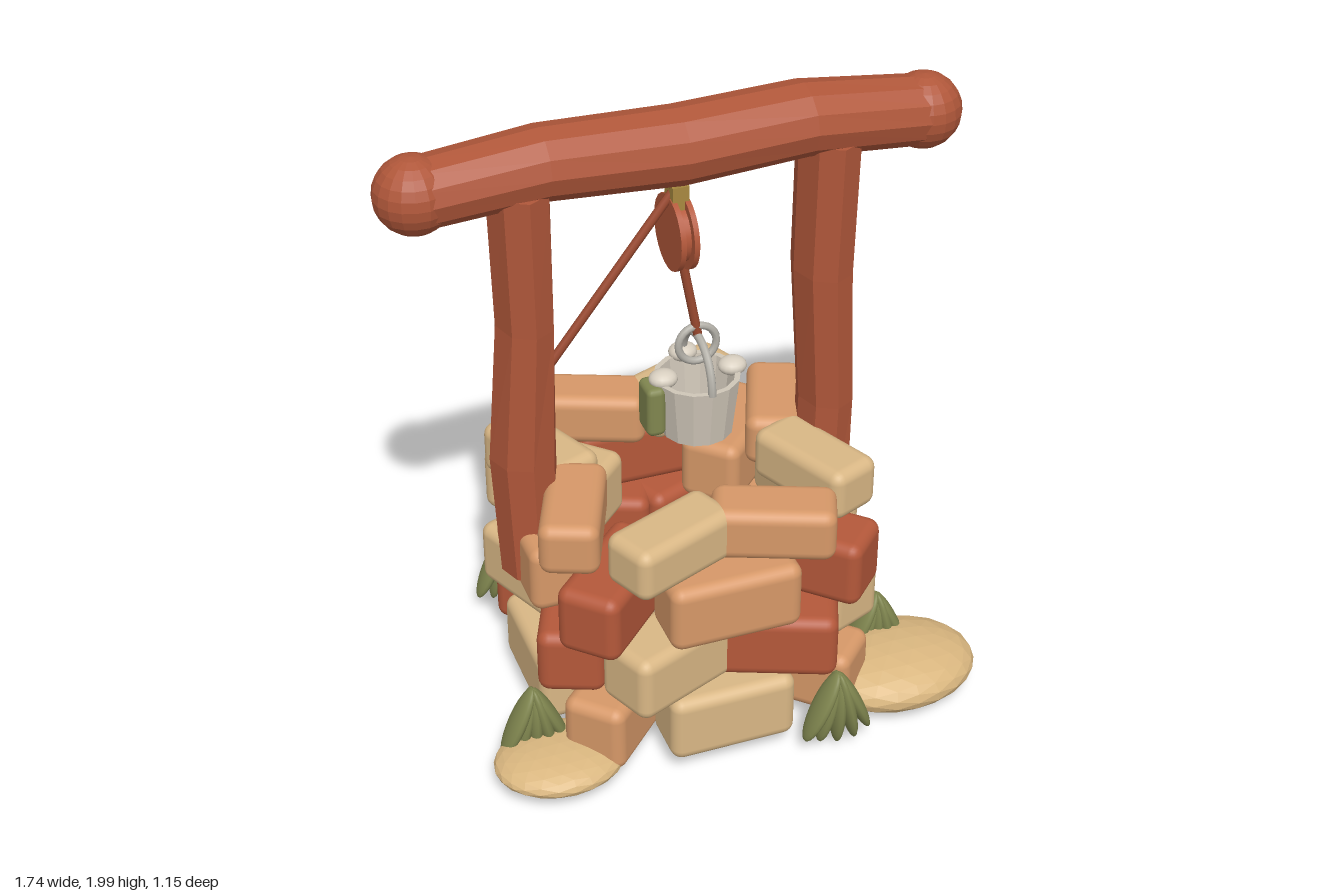
import * as THREE from 'three';
import { RoundedBoxGeometry } from 'three/addons/geometries/RoundedBoxGeometry.js';

const mat = (color, extra = {}) => {
  const m = new THREE.MeshStandardMaterial(extra);
  m.color.set(color);
  return m;
};
const cream = mat(0xd9b785), orange = mat(0xd69868), rust = mat(0xb4583a);
const wood = mat(0xb0573a, { flatShading: true }), rope = mat(0x9c4a30);
const sand = mat(0xd9b67f, { flatShading: true }), leafGreen = mat(0x80864f);
const brass = mat(0xa8893f), pale = mat(0xd8cfc0);
const pail = mat(0xcfc6b8, { flatShading: true, side: THREE.DoubleSide });
const metal = mat(0xb5b2aa);

const CZ = -0.025; // depth of the well axis

function add(parent, name, geometry, material, x = 0, y = 0, z = 0) {
  const mesh = new THREE.Mesh(geometry, material);
  mesh.name = name;
  mesh.position.set(x, y, z);
  parent.add(mesh);
  return mesh;
}

// Rough log through rings [y, centreX, halfX, halfZ], listed top to bottom
function log(rings, sides) {
  const n = rings.length - 1;
  const g = new THREE.CylinderGeometry(1, 1, 1, sides, n);
  const p = g.attributes.position;
  for (let i = 0; i < p.count; i++) {
    const [y, cx, hx, hz] = rings[Math.round((0.5 - p.getY(i)) * n)];
    p.setXYZ(i, cx + p.getX(i) * hx, y, p.getZ(i) * hz);
  }
  g.computeVertexNormals();
  return g;
}

// Thin round bar between two points
function bar(parent, name, a, b, r, material) {
  const path = new THREE.LineCurve3(new THREE.Vector3(...a), new THREE.Vector3(...b));
  return add(parent, name, new THREE.TubeGeometry(path, 1, r, 8), material);
}

function ellipsoid(parent, name, material, pos, scale, geometry = new THREE.SphereGeometry(1, 16, 12)) {
  const m = add(parent, name, geometry, material, ...pos);
  m.scale.set(...scale);
  return m;
}

// Four courses of eight bricks, every other course turned half a step
function makeWall() {
  const wall = new THREE.Group();
  wall.name = 'brickWall';
  const [C, O, R] = [cream, orange, rust];
  const courses = [
    { y: 0.18, h: 0.225, r: 0.415, l: 0.4, d: 0.2, turn: 0, colors: [C, O, R, C, O, R, C, O] },
    { y: 0.395, h: 0.215, r: 0.42, l: 0.4, d: 0.205, turn: 0.5, colors: [R, C, O, R, R, C, R, C] },
    { y: 0.61, h: 0.22, r: 0.43, l: 0.41, d: 0.2, turn: 0, colors: [O, R, C, O, R, C, O, R] },
    { y: 0.795, h: 0.17, r: 0.417, l: 0.37, d: 0.18, turn: 0.5, colors: [O, C, O, C, O, C, O, C] },
  ];
  for (const c of courses) {
    const brick = new RoundedBoxGeometry(c.l, c.h, c.d, 3, 0.038);
    c.colors.forEach((color, i) => {
      const a = (i + c.turn) * Math.PI / 4;
      const m = add(wall, 'brick', brick, color, c.r * Math.sin(a), c.y, CZ + c.r * Math.cos(a));
      m.rotation.y = -a; // bricks splay outwards at the corners
    });
  }
  return wall;
}

function makeFrame() {
  const frame = new THREE.Group();
  frame.name = 'woodenFrame';
  add(frame, 'leftPost', log([
    [1.83, 0.463, 0.092, 0.122], [1.4, 0.456, 0.09, 0.12],
    [0.95, 0.481, 0.085, 0.112], [0.54, 0.477, 0.09, 0.1]], 8), wood, 0, 0, CZ);
  add(frame, 'rightPost', log([
    [1.83, -0.467, 0.092, 0.122], [1.4, -0.463, 0.087, 0.12],
    [0.95, -0.485, 0.102, 0.112], [0.54, -0.475, 0.092, 0.1]], 8), wood, 0, 0, CZ);
  // The beam is a log laid on its side: its own y runs along -x
  const beam = add(frame, 'crossBeam', log([
    [0.77, 1.853, 0.1, 0.108], [0.4, 1.888, 0.106, 0.12], [0, 1.872, 0.113, 0.125],
    [-0.38, 1.892, 0.108, 0.125], [-0.77, 1.855, 0.103, 0.11]], 12), wood, 0, 0, CZ);
  beam.rotation.z = Math.PI / 2;
  beam.scale.x = 1;
  for (const s of [-1, 1]) {
    add(frame, 'beamKnob', new THREE.SphereGeometry(0.114, 18, 12), wood, s * 0.758, 1.855, CZ);
  }
  return frame;
}

function makePulley() {
  const g = new THREE.Group();
  g.name = 'pulley';
  ellipsoid(g, 'hangerKnob', brass, [0, 1.755, CZ], [0.032, 0.022, 0.032]);
  add(g, 'hanger', new THREE.BoxGeometry(0.05, 0.16, 0.07), brass, 0, 1.675, CZ);
  for (const [x, r, w] of [[-0.02, 0.115, 0.016], [0, 0.09, 0.03], [0.02, 0.115, 0.016]]) {
    const disc = add(g, 'pulleyDisc', new THREE.CylinderGeometry(r, r, w, 24), rust, x, 1.6, CZ);
    disc.rotation.z = Math.PI / 2;
  }
  bar(g, 'tiedRope', [0, 1.745, CZ], [-0.4, 1.225, CZ], 0.014, rope);
  bar(g, 'bucketRope', [0.005, 1.56, CZ], [0.065, 1.24, CZ], 0.014, rope);
  return g;
}

function makeBucket() {
  const g = new THREE.Group();
  g.name = 'bucket';
  g.position.set(0.064, 0, CZ);
  const profile = [[0, 0.915], [0.11, 0.915], [0.132, 1.105], [0.115, 1.105], [0.097, 0.935], [0, 0.935]];
  add(g, 'pail', new THREE.LatheGeometry(profile.map(p => new THREE.Vector2(...p)), 14), pail);
  const arch = add(g, 'handle', new THREE.TorusGeometry(0.125, 0.013, 8, 24, Math.PI), metal, 0, 1.1, 0);
  arch.rotation.y = Math.PI / 2;
  arch.scale.y = 1.1;
  add(g, 'handleRing', new THREE.TorusGeometry(0.06, 0.012, 8, 24), metal, 0, 1.21, 0);
  for (const [x, z] of [[-0.108, 0], [0.112, 0], [0, -0.125]]) {
    ellipsoid(g, 'rimKnob', pale, [x, 1.11, z], [0.045, 0.028, 0.04]);
  }
  add(g, 'mossPatch', new RoundedBoxGeometry(0.06, 0.165, 0.1, 2, 0.02), leafGreen, -0.143, 1.02, 0);
  return g;
}

// Fan of drooping leaves hanging from one tip
function makePlant(x, z) {
  const g = new THREE.Group();
  g.name = 'plant';
  g.position.set(x, 0.3, z);
  for (let i = -2; i <= 2; i++) {
    const a = i * 0.21, half = 0.134 - Math.abs(i) * 0.002;
    const leaf = ellipsoid(g, 'leaf', leafGreen,
      [Math.sin(a) * half, -Math.cos(a) * half, (i % 2) * 0.008], [0.023, half, 0.046]);
    leaf.rotation.z = a;
  }
  return g;
}

export function createModel() {
  const model = new THREE.Group();
  model.name = 'well';
  model.add(makeWall(), makeFrame(), makePulley(), makeBucket());

  const stone = new THREE.IcosahedronGeometry(1, 3);
  ellipsoid(model, 'largeStone', sand, [0.6, 0.1, 0.317], [0.27, 0.092, 0.208], stone);
  ellipsoid(model, 'smallStone', sand, [-0.52, 0.088, 0.36], [0.203, 0.058, 0.165], stone);

  for (const [x, z] of [[0.32, 0.52], [-0.57, 0.27], [0.59, 0.2], [-0.42, -0.515]]) {
    model.add(makePlant(x, z));
  }
  return model;
}
